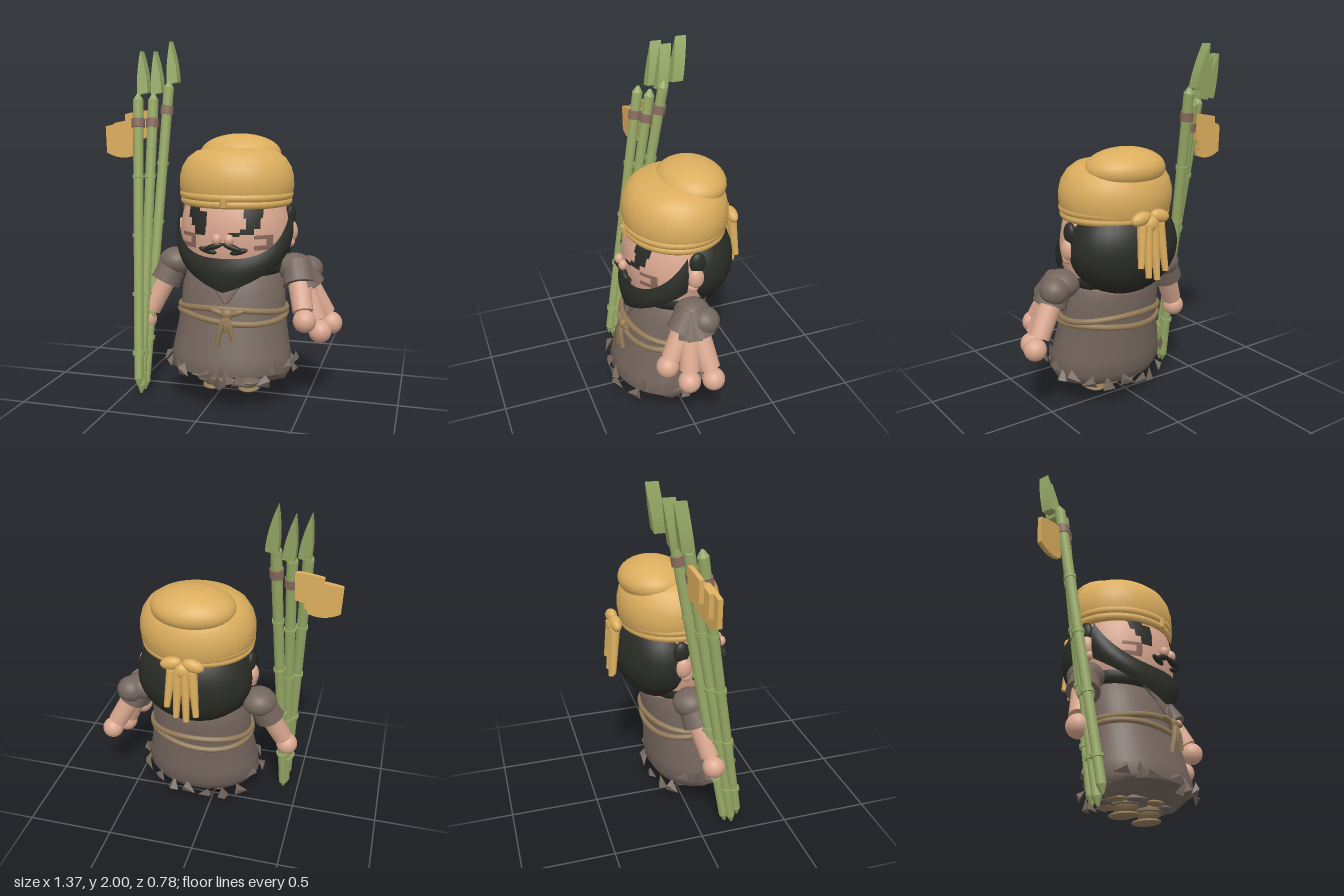
import * as THREE from 'three';

const mat = (name, color, side = THREE.FrontSide) => {
  const m = new THREE.MeshStandardMaterial({ color, side });
  m.name = name;
  return m;
};
const V = (x, y, z) => new THREE.Vector3(x, y, z);

export function createModel() {
  const skin = mat('skin', 0xdaa890), robe = mat('robe brown', 0x74665d), hair = mat('hair black', 0x2a2c26, THREE.DoubleSide);
  const cloth = mat('turban yellow', 0xdcae5e), bamboo = mat('bamboo green', 0x98aa66), rope = mat('rope tan', 0x917957);
  const tie = mat('tie brown', 0x8a6d5f), blush = mat('cheek brown', 0x8c6a5c);
  const model = new THREE.Group();
  model.name = 'bambooBearer';
  const CX = 0.08;

  const add = (name, geo, material, p = [0, 0, 0], s = [1, 1, 1]) => {
    const m = new THREE.Mesh(geo, material);
    m.name = name;
    m.position.set(...p);
    m.scale.set(...s);
    model.add(m);
    return m;
  };
  const ball = (name, material, p, s) => add(name, new THREE.SphereGeometry(1, 32, 20), material, p, s);
  // tapered cylinder between two points
  const rod = (name, material, a, b, ra, rb = ra, sides = 16) => {
    const A = V(...a), B = V(...b);
    const m = add(name, new THREE.CylinderGeometry(rb, ra, A.distanceTo(B), sides), material);
    m.position.copy(A).lerp(B, 0.5);
    m.quaternion.setFromUnitVectors(V(0, 1, 0), B.clone().sub(A).normalize());
    return m;
  };
  const lathe = (pts) => new THREE.LatheGeometry(pts.map(([r, y]) => new THREE.Vector2(r, y)), 48);
  const warp = (geo, rule) => {
    const pos = geo.attributes.position, v = V(0, 0, 0);
    for (let i = 0; i < pos.count; i++) {
      rule(v.fromBufferAttribute(pos, i));
      pos.setXYZ(i, v.x, v.y, v.z);
    }
    geo.computeVertexNormals();
    return geo;
  };
  const tube = (name, material, pts, r, closed = false) =>
    add(name, new THREE.TubeGeometry(new THREE.CatmullRomCurve3(pts, closed), closed ? 64 : 16, r, 8, closed), material);

  // Robe, leaning forward towards the hem, which is raised over the shoes
  const lean = (y) => 0.15 * (0.82 - y);
  const robeGeo = lathe([[0, 0.12], [0.24, 0.12], [0.31, 0.14], [0.342, 0.2], [0.335, 0.28], [0.31, 0.42],
    [0.296, 0.53], [0.292, 0.64], [0.25, 0.78], [0.15, 0.85], [0, 0.87]]);
  add('robe', warp(robeGeo, (v) => {
    if (v.y < 0.2) v.y += (0.2 - v.y) * 0.9 * THREE.MathUtils.clamp(v.z * 6, 0, 1);
    v.x += CX;
    v.z = v.z * 0.76 + lean(v.y);
  }), robe);
  for (const s of [-1, 1]) // crossed collar
    rod('collar', robe, [CX + s * 0.13, 0.75, 0.205], [CX + 0.015, 0.58, 0.262], 0.012, 0.01, 8);

  // Torn hem shards, broad flat points around the rim
  for (let i = 0; i < 22; i++) {
    const a = i * 2.399, r = 0.345 + 0.012 * (i % 3);
    const y = 0.15 + 0.03 * (i % 4) + 0.025 * Math.cos(a);
    const geo = new THREE.ConeGeometry(0.042, 0.08, 3).toNonIndexed();
    geo.computeVertexNormals();
    const m = add('hemShard', geo, robe, [CX + r * Math.sin(a), y, lean(y) + 0.76 * r * Math.cos(a)], [1, 1, 0.5]);
    m.rotation.set(0.5 * Math.cos(i * 1.7), a, 2.2 * Math.sin(i * 2.1), 'YXZ');
  }
  for (let i = 0; i < 9; i++) { // tattered patches below
    const a = i * 0.7 + 1.4;
    const m = ball('hemPatch', i % 2 ? rope : robe, [CX + 0.2 * Math.sin(a), 0.12, 0.06 + 0.13 * Math.cos(a)], [0.055, 0.014, 0.04]);
    m.rotation.y = a;
  }

  // Rope belt with bow
  for (const [y, ph] of [[0.535, 0], [0.485, 2]]) {
    const ring = Array.from({ length: 24 }, (_, i) => {
      const a = i * Math.PI / 12;
      return V(CX + 0.3 * Math.sin(a), y + 0.016 * Math.cos(a * 2 + ph), lean(y) + 0.231 * Math.cos(a));
    });
    tube('ropeBelt', rope, ring, 0.017, true);
  }
  ball('beltKnot', rope, [0.11, 0.53, 0.295], [0.035, 0.032, 0.025]);
  for (const [x, y] of [[0.06, 0.36], [0.15, 0.39], [0.11, 0.43]])
    tube('beltTail', rope, [V(0.11, 0.53, 0.3), V((x + 0.11) / 2, 0.47, 0.315), V(x, y, 0.31)], 0.015);
  for (const s of [-1, 1])
    ball('beltLoop', rope, [0.11 + s * 0.05, 0.54, 0.295], [0.045, 0.016, 0.015]).rotation.z = s * 0.3;

  // Shoes
  for (const x of [-0.025, 0.18]) {
    ball('shoeSole', rope, [x, 0.055, 0.065], [0.062, 0.017, 0.085]);
    ball('shoe', rope, [x, 0.125, 0.08], [0.065, 0.075, 0.075]);
    ball('shoeStrap', robe, [x, 0.105, 0.08], [0.067, 0.014, 0.079]);
  }

  // Head
  const F = { y: 0.93, z: 0, rx: 0.31, ry: 0.37, rz: 0.265 };
  ball('face', skin, [CX, F.y, F.z], [F.rx, F.ry, F.rz]);
  ball('backHair', hair, [CX, 0.935, -0.1], [0.325, 0.275, 0.24]);
  ball('underHair', hair, [CX, 0.77, 0.01], [0.29, 0.13, 0.235]);
  for (const s of [-1, 1]) {
    ball('ear', skin, [CX + s * 0.31, 0.94, -0.03], [0.038, 0.062, 0.045]);
    ball('earLobe', skin, [CX + s * 0.31, 0.885, -0.015], [0.025, 0.03, 0.03]);
    ball('sideLock', hair, [CX + s * 0.305, 1.03, -0.04], [0.028, 0.06, 0.045]);
    ball('nostril', skin, [CX + 0.005 + s * 0.034, 0.93, 0.287], [0.027, 0.03, 0.025]);
    ball('moustache', hair, [CX + 0.005 + s * 0.05, 0.892, 0.288], [0.055, 0.016, 0.018]).rotation.z = -s * 0.3;
    ball('moustacheTip', hair, [CX + 0.005 + s * 0.085, 0.868, 0.278], [0.05, 0.016, 0.016]).rotation.z = s * 0.25;
  }

  // Beard wrapping from ear to ear
  const beard = warp(new THREE.PlaneGeometry(2, 1, 48, 8), (v) => {
    const u = Math.abs(v.x), t = v.y + 0.5, a = v.x * 1.5;
    const top = 0.825 + 0.25 * u ** 2.7, low = 0.64 + 0.22 * u ** 1.15;
    const k = 0.97 + 0.06 * Math.sin(Math.PI * t);
    v.set(CX + 0.325 * k * Math.sin(a), low + (top - low) * t, 0.28 * k * Math.cos(a));
  });
  add('beard', beard, hair);

  // Face paint, thin patches following the face
  const paint = (name, material, x0, x1, y0, y1) => add(name, warp(new THREE.PlaneGeometry(1, 1, 6, 6), (v) => {
    v.x = x0 + (x1 - x0) * (v.x + 0.5);
    v.y = y0 + (y1 - y0) * (v.y + 0.5);
    const q = 1 - ((v.x - CX) / F.rx) ** 2 - ((v.y - F.y) / F.ry) ** 2;
    v.z = F.z + F.rz * Math.sqrt(Math.max(q, 0)) + 0.006;
  }), material);
  for (const [a, b, c, d] of [[-0.13, -0.06, 1.03, 1.1], [-0.11, -0.015, 0.99, 1.07], [-0.085, -0.02, 0.945, 0.99],
    [0.185, 0.28, 1.04, 1.1], [0.2, 0.27, 0.985, 1.04], [0.17, 0.24, 0.955, 0.985], [0.11, 0.17, 0.945, 0.965]])
    paint('eyeMark', hair, a, b, c, d);
  for (const x of [-0.125, 0.285])
    for (const [a, b, c, d] of [[-0.045, 0.045, 0.93, 0.95], [0.015, 0.045, 0.895, 0.93], [-0.045, 0.045, 0.87, 0.895]])
      paint('cheekMark', blush, x + a, x + b, c, d);

  // Turban
  add('turbanRoll', lathe([[0, -0.13], [0.9, -0.13], [0.97, -0.09], [1, -0.03], [0.995, 0.02], [0.95, 0.075], [0.85, 0.125], [0.7, 0.16], [0.4, 0.18], [0, 0.185]]),
    cloth, [CX, 1.22, -0.025], [0.322, 1, 0.287]);
  ball('turbanCrown', cloth, [CX, 1.36, -0.115], [0.232, 0.113, 0.188]);
  for (const [y, r] of [[1.11, 0.289], [1.145, 0.295]]) {
    const band = add('turbanBand', new THREE.TorusGeometry(r, 0.025, 12, 48), cloth, [CX, y, -0.02], [1, 0.89, 1]);
    band.rotation.x = Math.PI / 2;
  }
  rod('bandFold', cloth, [CX, 1.1, 0.252], [CX, 1.15, 0.26], 0.02);

  // Knot and tails behind the turban
  for (const s of [-1, 1])
    ball('knotLoop', cloth, [CX + s * 0.06, 1.135, -0.34], [0.06, 0.036, 0.032]).rotation.z = -s * 0.25;
  ball('knot', cloth, [CX, 1.1, -0.345], [0.045, 0.045, 0.032]);
  for (const [x, y] of [[0.0, 0.84], [0.055, 0.8], [0.11, 0.82], [0.16, 0.88]])
    rod('turbanTail', cloth, [x, y, -0.37], [CX + (x - CX) * 0.7, 1.1, -0.345], 0.017, 0.028);

  // Arms: the left one has three forearms, the right one holds the poles
  const arm = (shoulder, hand, r) => {
    const at = (t) => V(...shoulder).lerp(V(...hand), t).toArray();
    rod('sleeve', robe, at(0), at(0.38), 0.078, 0.09);
    rod('forearm', skin, at(0.33), at(0.84), 0.062, 0.056);
    ball('hand', skin, hand, [r, r, r]);
  };
  ball('leftShoulder', robe, [0.42, 0.745, 0], [0.1, 0.08, 0.1]);
  ball('leftShoulderCap', robe, [0.49, 0.73, -0.045], [0.08, 0.075, 0.08]);
  for (const hand of [[0.505, 0.49, 0.17], [0.575, 0.41, 0.07], [0.62, 0.43, -0.05]])
    arm([0.43, 0.77, 0.01], hand, 0.062);
  ball('rightShoulder', robe, [-0.27, 0.745, 0], [0.1, 0.08, 0.1]);
  arm([-0.27, 0.765, 0], [-0.43, 0.41, 0.085], 0.063);

  // Bamboo poles with nodes, ties and cut blades
  const poles = [
    [[-0.425, 0.1, 0.225], [-0.5, 1.66, -0.02], 1.53, [-0.498, 1.69, -0.098], 0.25],
    [[-0.42, 0.05, 0.195], [-0.425, 1.66, -0.065], 1.53, [-0.425, 1.69, -0.13], 0.25],
    [[-0.41, 0.06, 0.155], [-0.35, 1.73, -0.12], 1.6, [-0.35, 1.75, -0.19], 0.25],
  ];
  for (const [a, b, tieY, tip, h] of poles) {
    const A = V(...a), B = V(...b);
    const at = (y) => A.clone().lerp(B, (y - a[1]) / (b[1] - a[1])).toArray();
    rod('bambooPole', bamboo, a, b, 0.025, 0.03);
    rod('poleTop', bamboo, b, at(b[1] + 0.035), 0.03, 0.008);
    rod('poleFoot', bamboo, at(a[1] - 0.045), a, 0.006, 0.025);
    for (let i = 0; i < 4; i++) {
      const y = tieY - 0.3 - 0.33 * i;
      rod('bambooNode', bamboo, at(y - 0.01), at(y + 0.01), 0.034);
    }
    rod('poleTie', tie, at(tieY - 0.025), at(tieY + 0.025), 0.037);
    const blade = new THREE.Shape();
    blade.moveTo(-0.025, 0);
    blade.lineTo(0.037, 0.012);
    blade.quadraticCurveTo(0.03, 0.12, -0.02, h);
    blade.quadraticCurveTo(-0.04, 0.1, -0.025, 0);
    const geo = new THREE.ExtrudeGeometry(blade, { depth: 0.065, bevelEnabled: false, curveSegments: 6 });
    add('poleBlade', warp(geo, (v) => { v.z -= 0.0325 + v.y * 0.16; }), bamboo, tip);
  }

  // Cloth pennants hung on the poles
  const pennant = new THREE.Shape();
  pennant.moveTo(-0.095, 0.08);
  pennant.quadraticCurveTo(0, 0.105, 0.095, 0.11);
  pennant.lineTo(0.085, -0.08);
  pennant.quadraticCurveTo(0, -0.12, -0.09, -0.07);
  const flagGeo = new THREE.ExtrudeGeometry(pennant, { depth: 0.025, bevelEnabled: false });
  for (const [x, y, z, s] of [[-0.595, 1.43, -0.015, 1], [-0.57, 1.46, -0.045, 0.85], [-0.52, 1.515, -0.075, 0.8]])
    add('pennant', flagGeo, cloth, [x, y, z], [s, s, 1]).rotation.y = 0.08;

  return model;
}
